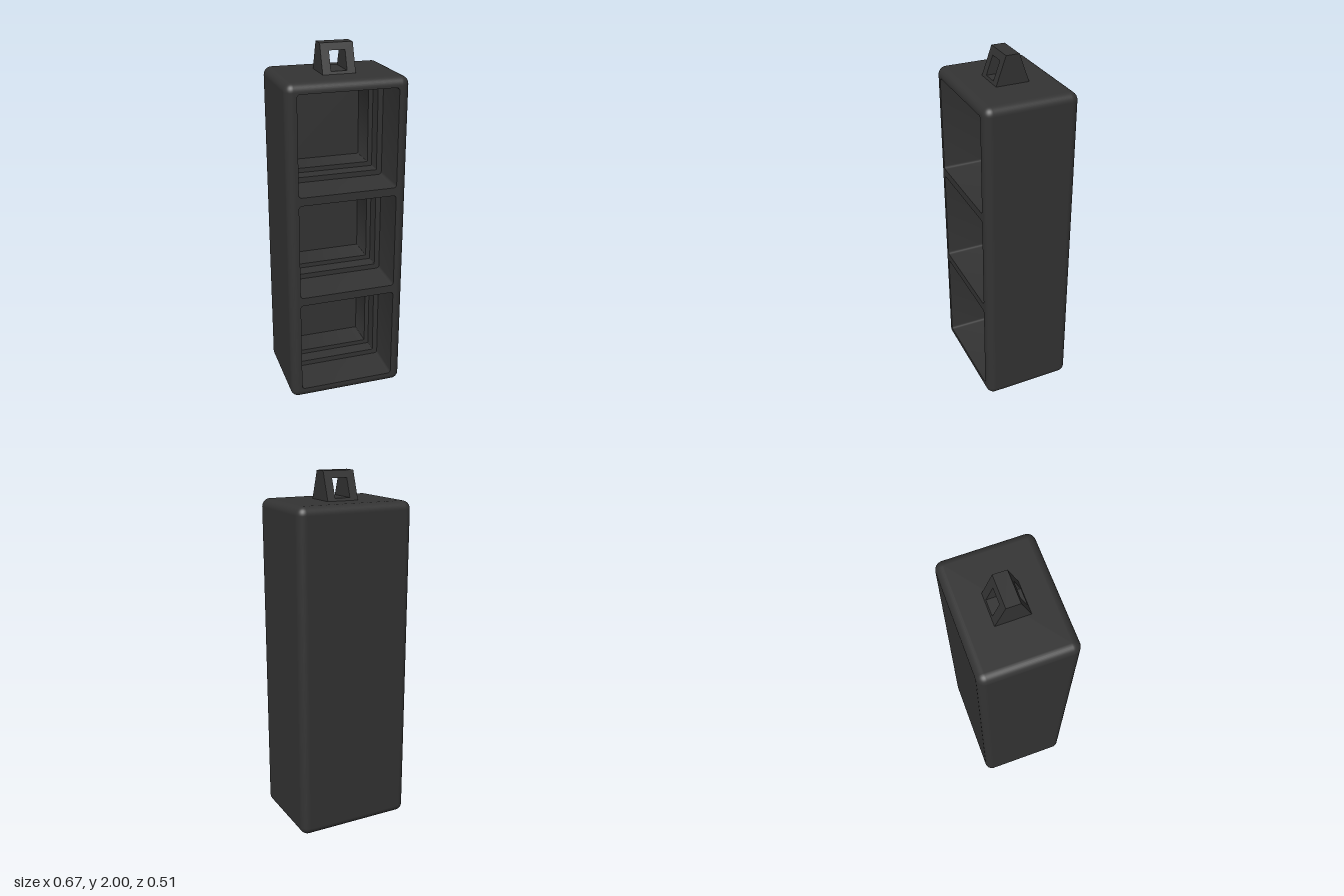
import * as THREE from 'three';
import { RoundedBoxGeometry } from 'three/addons/geometries/RoundedBoxGeometry.js';
import { toCreasedNormals } from 'three/addons/utils/BufferGeometryUtils.js';

const W = 0.667, H = 1.845, D = 0.514, R = 0.045;
const OPEN = 0.273, OPEN_R = 0.016, FRONT = D / 2;
const ROWS = [0.333, 0.926, 1.518];

// Corner-rounded square outline, counter-clockwise, always the same point count
function squareLoop(half, r, cy = 0) {
  const pts = [], n = 4;
  for (let c = 0; c < 4; c++) {
    const mid = Math.PI / 4 + c * Math.PI / 2;
    const cx = Math.sign(Math.cos(mid)) * (half - r);
    const ccy = Math.sign(Math.sin(mid)) * (half - r);
    for (let i = 0; i <= n; i++) {
      const a = c * Math.PI / 2 + (i / n) * Math.PI / 2;
      pts.push(new THREE.Vector2(cx + r * Math.cos(a), cy + ccy + r * Math.sin(a)));
    }
  }
  return pts;
}

// Rounded box whose flat front panel is removed
function shellGeometry() {
  const box = new RoundedBoxGeometry(W, H, D, 5, R);
  const geo = box.index ? box.toNonIndexed() : box;
  const p = geo.attributes.position, nrm = geo.attributes.normal;
  const pos = [], normals = [];
  for (let t = 0; t < p.count; t += 3) {
    if ([0, 1, 2].every(k => p.getZ(t + k) > FRONT - 1e-5)) continue;
    for (let k = t; k < t + 3; k++) {
      pos.push(p.getX(k), p.getY(k), p.getZ(k));
      normals.push(nrm.getX(k), nrm.getY(k), nrm.getZ(k));
    }
  }
  const out = new THREE.BufferGeometry();
  out.setAttribute('position', new THREE.Float32BufferAttribute(pos, 3));
  out.setAttribute('normal', new THREE.Float32BufferAttribute(normals, 3));
  return out;
}

// Front panel with three square openings
function frontGeometry() {
  const x = W / 2 - R, y0 = R, y1 = H - R;
  const shape = new THREE.Shape([[-x, y0], [x, y0], [x, y1], [-x, y1]].map(c => new THREE.Vector2(...c)));
  for (const cy of ROWS) shape.holes.push(new THREE.Path(squareLoop(OPEN, OPEN_R, cy)));
  return new THREE.ShapeGeometry(shape);
}

// Stepped recess: rings of [half size, corner radius, z] from opening to back wall
function pocketGeometry() {
  const rings = [
    [OPEN, OPEN_R, FRONT], [OPEN, OPEN_R, 0.025],
    [0.243, 0.004, 0.025], [0.243, 0.004, -0.055],
    [0.217, 0.004, -0.055], [0.217, 0.004, -0.22],
    [0.001, 0.0005, -0.22],
  ].map(([h, r, z]) => squareLoop(h, r).map(v => [v.x, v.y, z]));
  const pos = [];
  for (let i = 0; i < rings.length - 1; i++) {
    const a = rings[i], b = rings[i + 1], n = a.length;
    for (let j = 0; j < n; j++) {
      const k = (j + 1) % n;
      pos.push(...a[j], ...a[k], ...b[k], ...a[j], ...b[k], ...b[j]);
    }
  }
  const geo = new THREE.BufferGeometry();
  geo.setAttribute('position', new THREE.Float32BufferAttribute(pos, 3));
  return toCreasedNormals(geo, 0.6);
}

// Square eyelet, tapered in depth towards its top
function eyeletGeometry() {
  const rect = (x, y0, y1) => [[-x, y0], [x, y0], [x, y1], [-x, y1]].map(c => new THREE.Vector2(...c));
  const base = H - 0.005, top = 2;
  const shape = new THREE.Shape(rect(0.09, base, top));
  shape.holes.push(new THREE.Path(rect(0.044, 1.86, 1.962)));
  const geo = new THREE.ExtrudeGeometry(shape, { depth: 2, bevelEnabled: false });
  geo.translate(0, 0, -1);
  const p = geo.attributes.position;
  for (let i = 0; i < p.count; i++) {
    const t = (p.getY(i) - base) / (top - base);
    p.setZ(i, p.getZ(i) * THREE.MathUtils.lerp(0.094, 0.037, t));
  }
  return toCreasedNormals(geo, 0.3);
}

export function createModel() {
  const model = new THREE.Group();
  model.name = 'hangingLampHousing';
  const material = new THREE.MeshStandardMaterial({ color: 0x333333 });
  const add = (name, geometry, y = 0) => {
    const mesh = new THREE.Mesh(geometry, material);
    mesh.name = name;
    mesh.position.y = y;
    model.add(mesh);
  };

  add('housing', shellGeometry(), H / 2);
  const front = frontGeometry();
  front.translate(0, 0, FRONT);
  add('frontPanel', front);

  const pocket = pocketGeometry();
  ['lowerRecess', 'middleRecess', 'upperRecess'].forEach((name, i) => add(name, pocket, ROWS[i]));

  add('hangingEyelet', eyeletGeometry());
  return model;
}
